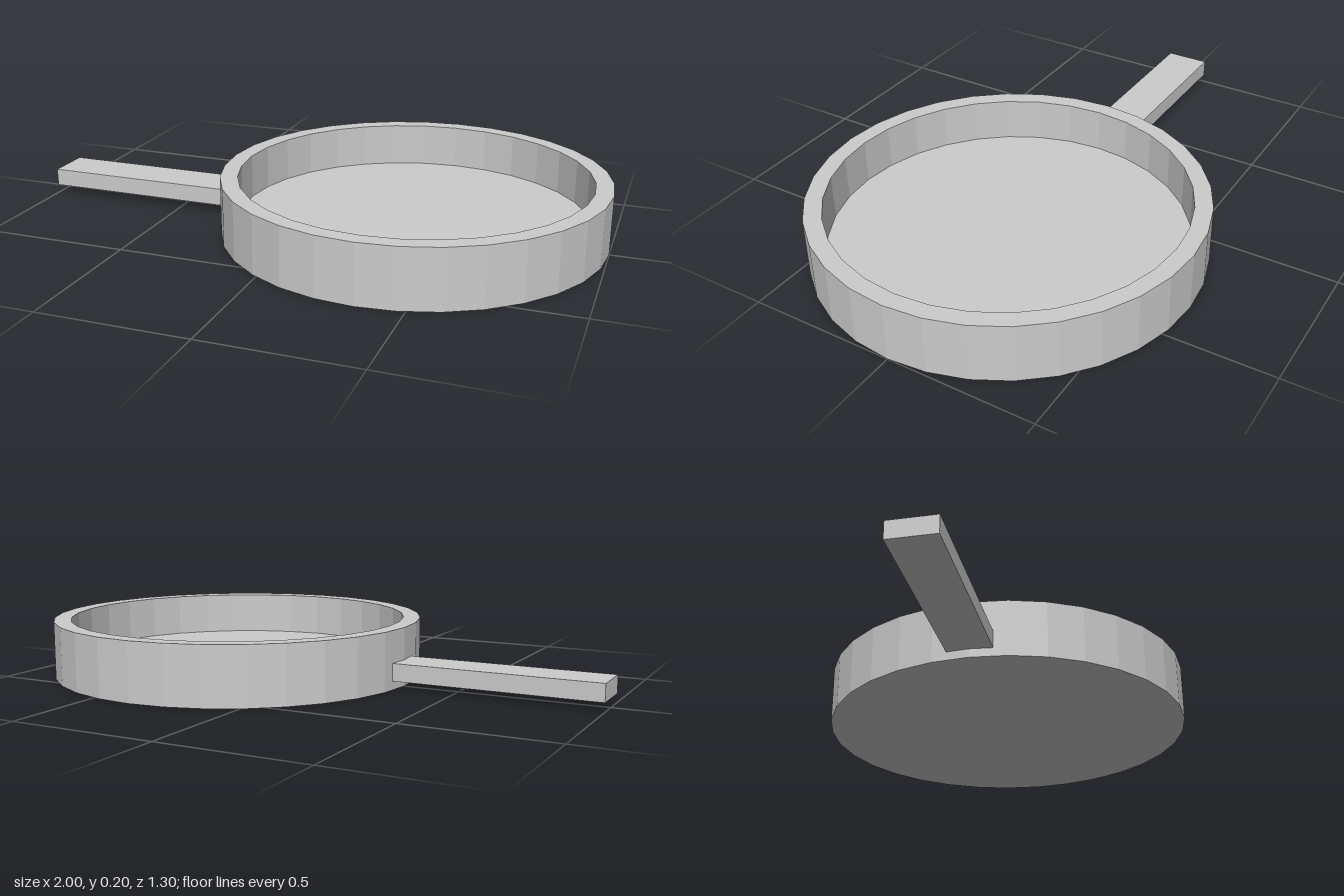
import * as THREE from 'three';

export function createModel() {
  const model = new THREE.Group();
  model.name = 'fryingPan';
  const material = new THREE.MeshStandardMaterial({ color: 0xcccccc, flatShading: true });

  const outer = 0.652, inner = 0.593, height = 0.2, floor = 0.05;

  // Pan body: closed section of base, outer wall, rim, inner wall and floor
  const section = [[0, 0], [outer, 0], [outer, height], [inner, height], [inner, floor], [0, floor]]
    .map(([r, y]) => new THREE.Vector2(r, y));
  const pan = new THREE.Mesh(new THREE.LatheGeometry(section, 32), material);
  pan.name = 'panBody';
  pan.position.x = 1 - outer;
  model.add(pan);

  // Straight handle, its end buried in the wall
  const start = -1, end = -0.275;
  const handle = new THREE.Mesh(new THREE.BoxGeometry(end - start, 0.06, 0.156), material);
  handle.name = 'handle';
  handle.position.set((start + end) / 2, 0.06, 0);
  model.add(handle);

  return model;
}
